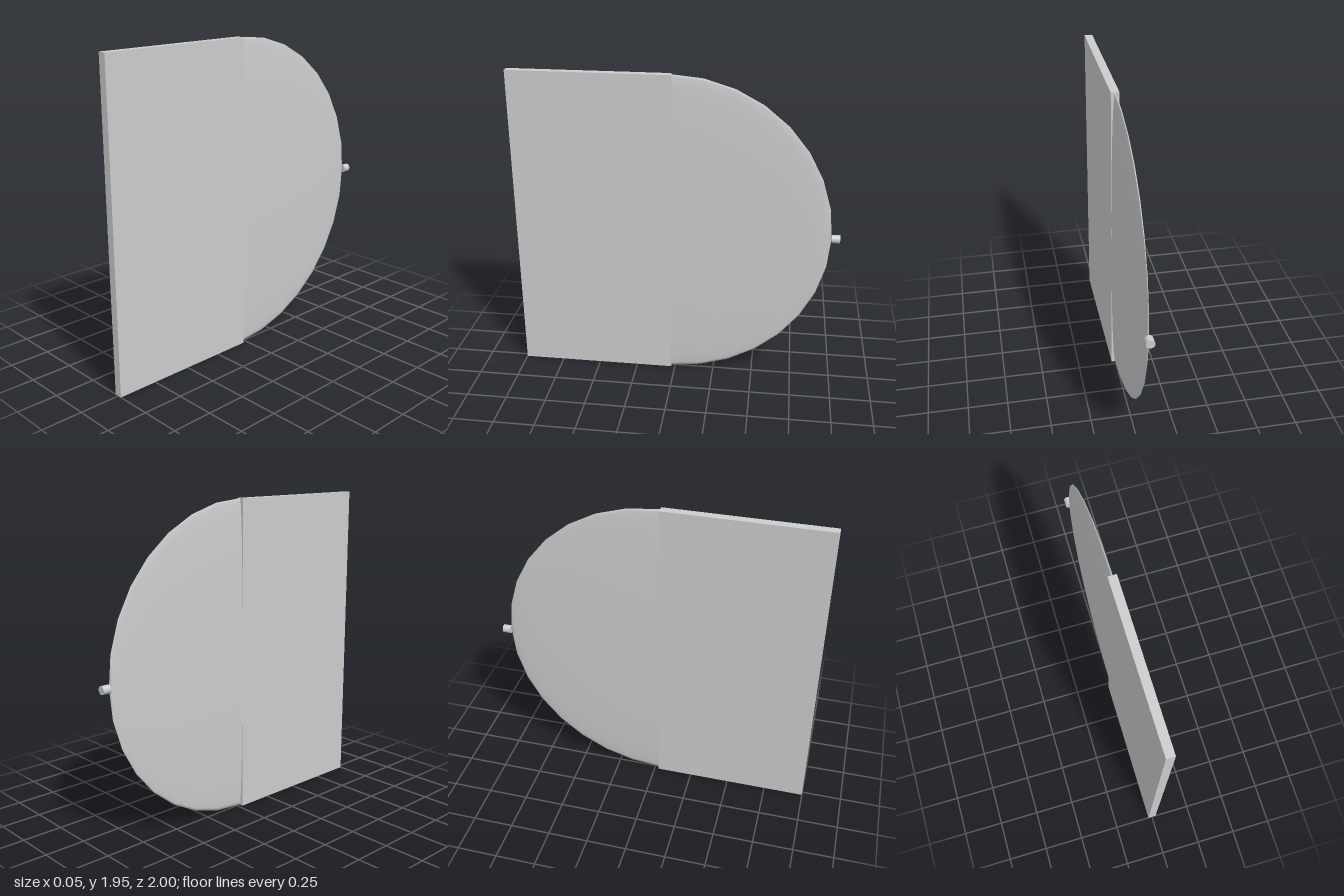
import * as THREE from 'three';

const THICK = 0.05, RADIUS = 0.975, SEAM = 0.025;

export function createModel() {
  const group = new THREE.Group();
  const material = new THREE.MeshStandardMaterial({ color: 0xcccccc });
  const add = (name, geometry, z) => {
    const mesh = new THREE.Mesh(geometry, material);
    mesh.name = name;
    mesh.position.set(0, RADIUS, z);
    group.add(mesh);
  };

  // Flat rectangular front panel
  const depth = 1 - SEAM;
  add('panel', new THREE.BoxGeometry(THICK, 2 * RADIUS, depth), SEAM + depth / 2);

  // Rounded back: a hemisphere facing -z, flattened to the panel's thickness
  const dome = new THREE.SphereGeometry(1, 32, 8, 0, Math.PI * 2, 0, Math.PI / 2);
  dome.rotateX(-Math.PI / 2);
  dome.scale(THICK / 2, RADIUS, RADIUS);
  add('roundedBack', dome, SEAM);

  // Small round peg at the tip of the rounded back
  const peg = new THREE.CylinderGeometry(0.025, 0.025, 0.05, 32);
  peg.rotateX(-Math.PI / 2);
  add('peg', peg, -0.975);

  return group;
}
